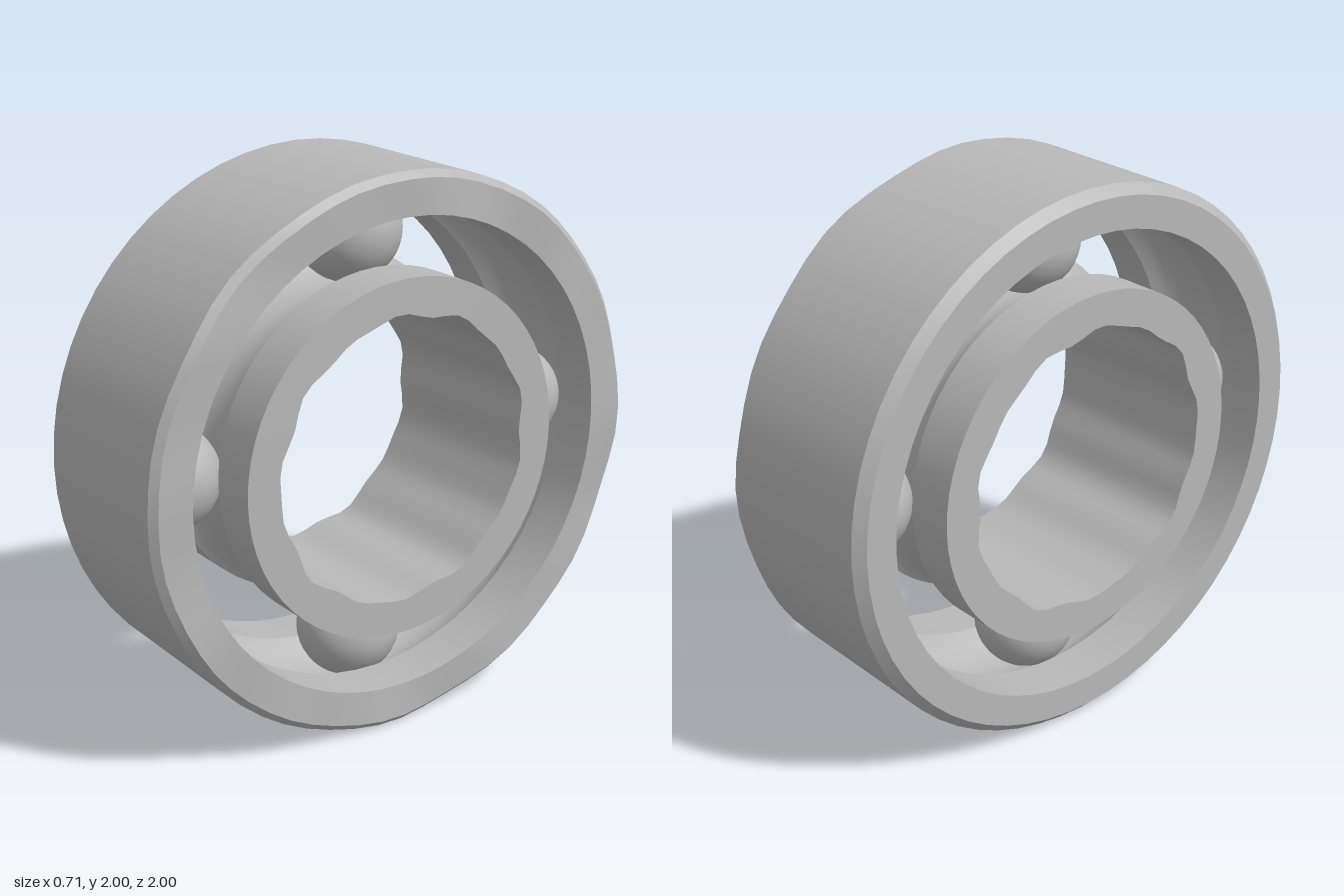
import * as THREE from 'three';
import { toCreasedNormals } from 'three/addons/utils/BufferGeometryUtils.js';

const HALF = 0.35;      // half width of the rings
const TRACK = 0.75;     // radius of the ball circle
const GROOVE = 0.2;     // radius of the raceway groove

// Arc of a raceway in the (radius, axis) profile; side is +1 outer, -1 inner
function groove(edge, side) {
  const half = Math.acos(Math.abs(edge - TRACK) / GROOVE);
  const pts = [];
  for (let i = 0; i <= 12; i++) {
    const t = half * (1 - i / 6) * side;
    pts.push([TRACK + side * GROOVE * Math.cos(t), GROOVE * Math.sin(t) * side]);
  }
  return side > 0 ? pts : pts.reverse();
}

// Turn a closed profile, bend its vertices by a rule and lay it along x
function ring(profile, rule) {
  const pts = [...profile, profile[0]].map(([r, y]) => new THREE.Vector2(r, y));
  const geo = new THREE.LatheGeometry(pts, 60);
  const p = geo.attributes.position;
  for (let i = 0; i < p.count; i++) {
    const a = Math.atan2(p.getZ(i), p.getX(i));
    const [r, y] = rule(Math.hypot(p.getX(i), p.getZ(i)), p.getY(i), a);
    p.setXYZ(i, r * Math.cos(a), y, r * Math.sin(a));
  }
  geo.rotateZ(-Math.PI / 2);
  return toCreasedNormals(geo, 0.45);
}

export function createModel() {
  const model = new THREE.Group();
  model.name = 'ballBearing';
  const steel = new THREE.MeshStandardMaterial({ color: 0xb8b8b8 });
  steel.name = 'steel';

  const add = (name, geo) => {
    const mesh = new THREE.Mesh(geo, steel);
    mesh.name = name;
    mesh.position.y = 1;
    model.add(mesh);
    return mesh;
  };

  // Outer ring: chamfered rim, groove inside, one slightly uneven end
  const outer = [
    [0.965, -HALF], [1, -HALF + 0.035], [1, HALF - 0.025], [0.975, HALF],
    [0.85, HALF], ...groove(0.85, 1).map(([r, y]) => [r, -y]).sort((a, b) => b[1] - a[1]), [0.85, -HALF],
  ];
  add('outerRing', ring(outer, (r, y, a) =>
    [r, y > 0.3 && r > 0.9 ? y + 0.006 * (Math.sin(7 * a) + Math.sin(12 * a + 1)) : y]));

  // Inner ring: groove outside, worn bore with shallow ribs
  const inner = [
    [0.515, -HALF], [0.645, -HALF],
    ...groove(0.645, -1).sort((a, b) => a[1] - b[1]),
    [0.645, HALF], [0.515, HALF],
  ];
  add('innerRing', ring(inner, (r, y, a) =>
    [r < 0.53 ? r + 0.007 * (Math.sin(9 * a) + Math.sin(14 * a + 2)) : r, y]));

  // Four balls
  const ballGeo = new THREE.SphereGeometry(0.19, 32, 20);
  for (let i = 0; i < 4; i++) {
    const a = i * Math.PI / 2;
    add('ball' + (i + 1), ballGeo).position.set(0, 1 + TRACK * Math.cos(a), TRACK * Math.sin(a));
  }
  return model;
}
